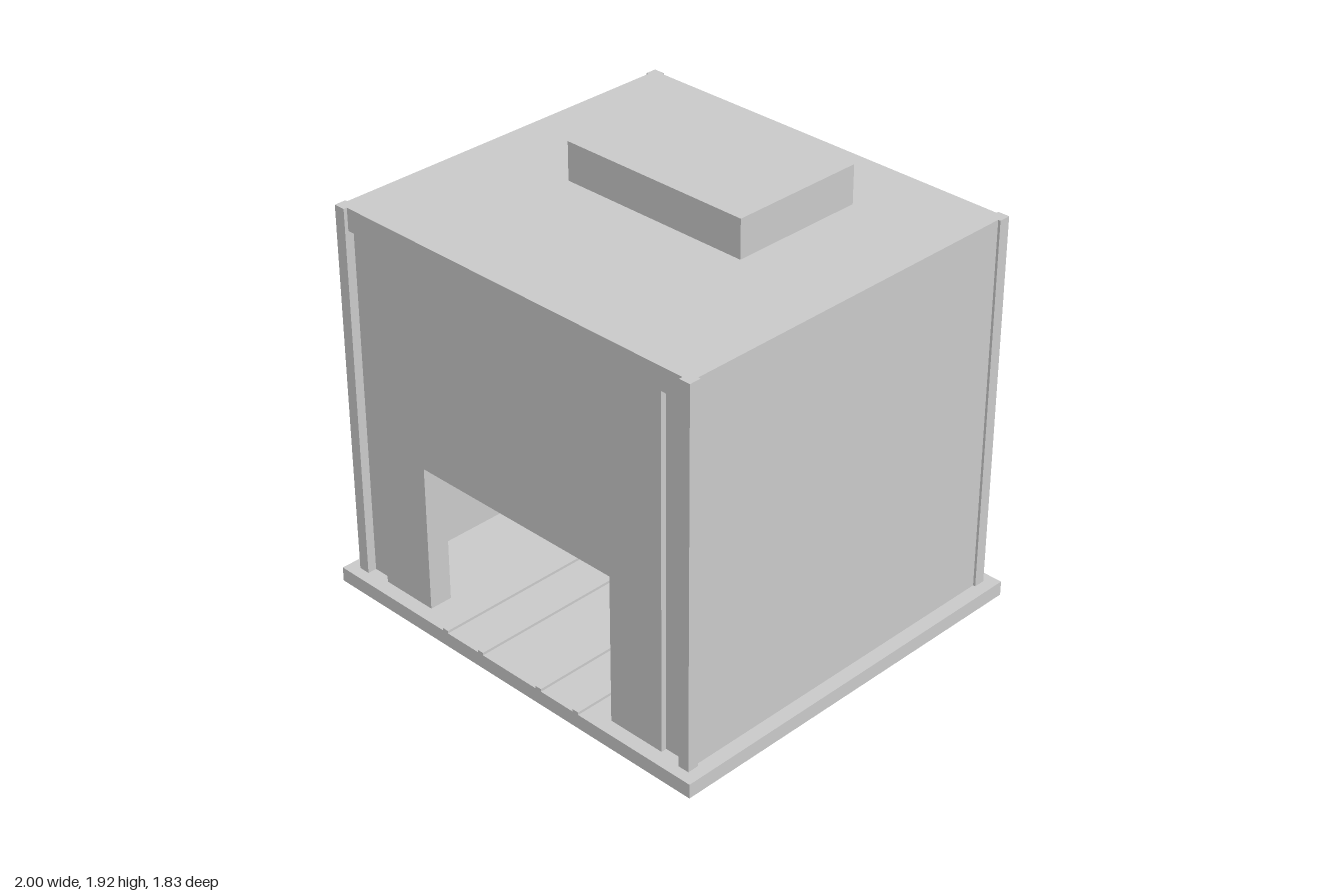
import * as THREE from 'three';

const material = new THREE.MeshStandardMaterial({ color: 0xcccccc, flatShading: true });
const FLOOR = 0.065, TOP = 1.75;

function add(group, name, geometry) {
  const mesh = new THREE.Mesh(geometry, material);
  mesh.name = name;
  group.add(mesh);
  return mesh;
}

// Box given by its minimum and maximum on each axis
function block(group, name, x0, x1, y0, y1, z0, z1) {
  const mesh = add(group, name, new THREE.BoxGeometry(x1 - x0, y1 - y0, z1 - z0));
  mesh.position.set((x0 + x1) / 2, (y0 + y1) / 2, (z0 + z1) / 2);
}

// Flat outline in x and y, extruded from z0 to z1
function panel(group, name, points, z0, z1) {
  const shape = new THREE.Shape(points.map(([x, y]) => new THREE.Vector2(x, y)));
  const geometry = new THREE.ExtrudeGeometry(shape, { depth: z1 - z0, bevelEnabled: false });
  add(group, name, geometry.translate(0, 0, z0));
}

export function createModel() {
  const model = new THREE.Group();
  model.name = 'trackShed';

  block(model, 'basePlate', -1, 1, 0, FLOOR, -0.915, 0.915);

  // Hollow shell: back, sides and roof
  block(model, 'backWall', -0.92, 0.92, FLOOR, TOP, -0.855, -0.755);
  for (const [name, s] of [['left', 1], ['right', -1]]) {
    const xs = [s * 0.835, s * 0.935].sort((a, b) => a - b);
    block(model, `${name}Wall`, ...xs, FLOOR, TOP, -0.84, 0.825);
  }
  block(model, 'roof', -0.835, 0.835, TOP - 0.1, TOP, -0.755, 0.745);

  // Front wall with doorway
  const door = [[0.52, FLOOR], [0.52, 0.735], [-0.52, 0.735], [-0.52, FLOOR]];
  panel(model, 'frontWall', [
    [-0.835, FLOOR], [-0.835, TOP], [0.835, TOP], [0.835, FLOOR], ...door,
  ], 0.745, 0.825);

  // Outer facing leaves a tall recess beside each corner post
  panel(model, 'frontFacing', [
    [-0.79, FLOOR], [-0.79, 1.65], [-0.92, 1.65], [-0.92, TOP],
    [0.92, TOP], [0.92, 1.65], [0.79, 1.65], [0.79, FLOOR], ...door,
  ], 0.825, 0.85);

  // Corner posts
  for (const x of [-0.92, 0.92]) {
    for (const z of [-0.84, 0.84]) {
      block(model, 'cornerPost', x - 0.026, x + 0.026, FLOOR, TOP, z - 0.026, z + 0.026);
    }
  }

  // Rooftop box
  block(model, 'roofBox', -0.458, 0.458, TOP, 1.92, -0.525, 0.1);

  // Two tracks running in through the doorway
  for (const x of [-0.36, -0.152, 0.182, 0.39]) {
    block(model, 'rail', x - 0.015, x + 0.015, FLOOR, 0.077, -0.755, 0.915);
  }

  return model;
}
